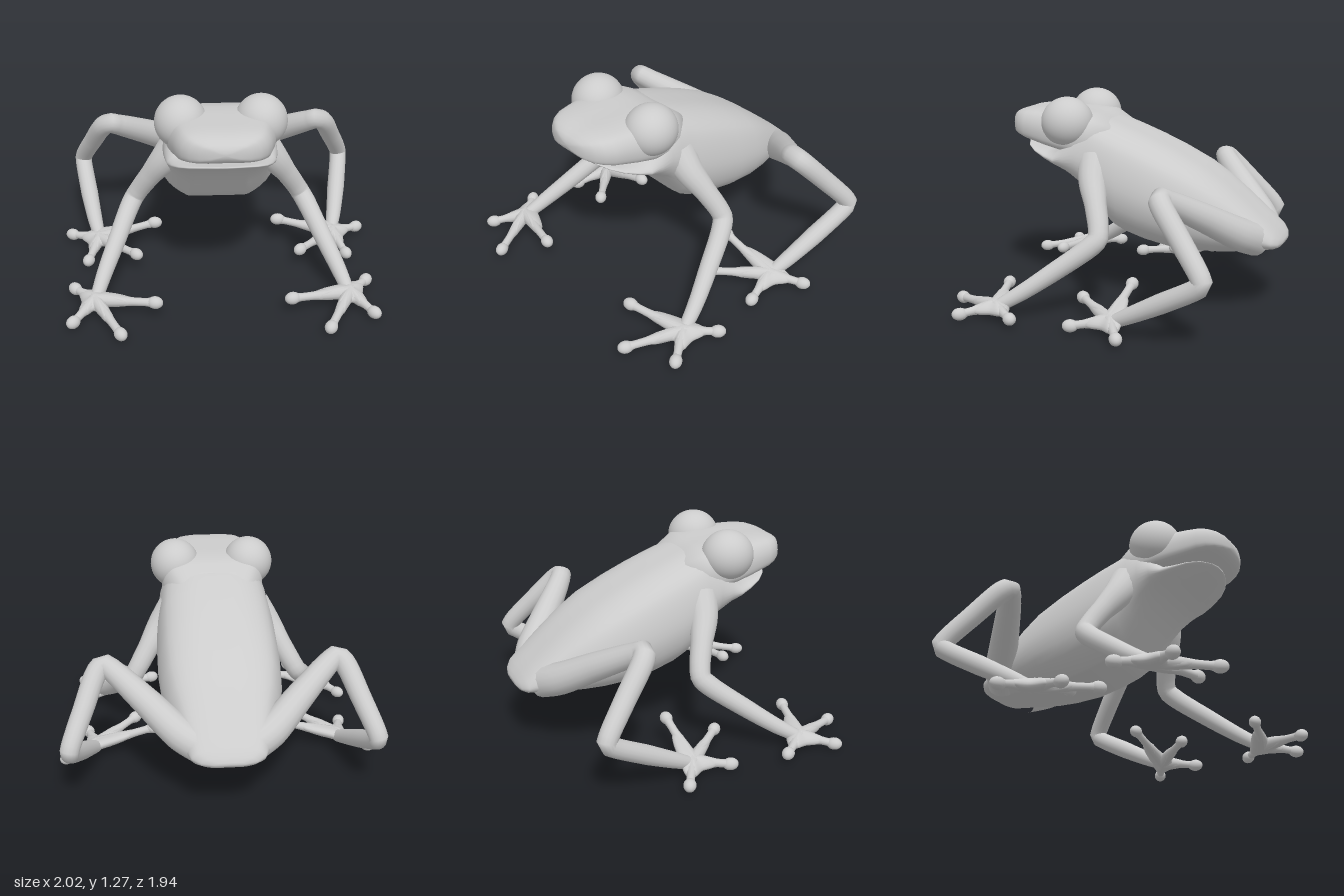
import * as THREE from 'three';

const V = (x, y, z) => new THREE.Vector3(x, y, z);

function addMesh(parent, name, geometry, material) {
  const mesh = new THREE.Mesh(geometry, material);
  mesh.name = name;
  parent.add(mesh);
  return mesh;
}

// Closed skin over rings of equal length, capped at both ends
function loft(rings) {
  const n = rings[0].length, pos = [], idx = [];
  rings.forEach(r => r.forEach(p => pos.push(p.x, p.y, p.z)));
  for (let i = 0; i < rings.length - 1; i++) {
    for (let j = 0; j < n; j++) {
      const a = i * n + j, b = i * n + (j + 1) % n;
      idx.push(a, b, a + n, b, b + n, a + n);
    }
  }
  [0, rings.length - 1].forEach(k => {
    const c = rings[k].reduce((s, p) => s.add(p), V(0, 0, 0)).divideScalar(n);
    const ci = pos.length / 3;
    pos.push(c.x, c.y, c.z);
    for (let j = 0; j < n; j++) {
      const a = k * n + j, b = k * n + (j + 1) % n;
      if (k === 0) idx.push(ci, b, a);
      else idx.push(ci, a, b);
    }
  });
  const g = new THREE.BufferGeometry();
  g.setAttribute('position', new THREE.Float32BufferAttribute(pos, 3));
  g.setIndex(idx);
  g.computeVertexNormals();
  return g;
}

// Loft along z: sections are [z, bottom, top, halfWidth], half is the right half of the outline
function bodyLoft(half, sections) {
  const left = half.slice(1, -1).reverse().map(([x, y]) => [-x, y]);
  const outline = new THREE.CatmullRomCurve3(
    [...half, ...left].map(([x, y]) => V(x, y, 0)), true).getPoints(56).slice(0, -1);
  return loft(sections.map(([z, lo, hi, w]) =>
    outline.map(p => V(p.x * w, lo + p.y * (hi - lo), z))));
}

// Round limb through points [x, y, z, radius]
function limb(points, segments = 36, sides = 16) {
  const curve = new THREE.CatmullRomCurve3(points.map(p => V(p[0], p[1], p[2])), false, 'centripetal');
  const g = new THREE.TubeGeometry(curve, segments, 1, sides);
  const pos = g.attributes.position, v = V(0, 0, 0);
  for (let i = 0; i <= segments; i++) {
    const u = i / segments, c = curve.getPointAt(u);
    const t = curve.getUtoTmapping(u) * (points.length - 1);
    const k = Math.min(Math.floor(t), points.length - 2);
    const r = THREE.MathUtils.lerp(points[k][3], points[k + 1][3], t - k);
    for (let j = 0; j <= sides; j++) {
      const n = i * (sides + 1) + j;
      v.fromBufferAttribute(pos, n).sub(c).multiplyScalar(r).add(c);
      pos.setXYZ(n, v.x, v.y, v.z);
    }
  }
  return g;
}

// Star-shaped webbed foot with slim toes ending in round pads
function foot(name, centre, toes, side, mat) {
  const group = new THREE.Group();
  group.name = name;
  const c = V(centre[0] * side, centre[1], centre[2]);
  let tips = toes.map(t => V(t[0] * side, t[1], t[2]));
  if (side < 0) tips = tips.reverse();

  // Web between the toes
  const edge = [];
  tips.forEach((tip, i) => {
    const dir = tip.clone().sub(c);
    const next = tips[(i + 1) % tips.length].clone().sub(c);
    const across = V(dir.z, 0, -dir.x).setLength(0.022);
    const out = c.clone().addScaledVector(dir, 0.62);
    edge.push(out.clone().sub(across), out.clone().add(across));
    const mid = dir.normalize().add(next.normalize()).setLength(0.085);
    edge.push(c.clone().add(mid));
  });
  const outline = new THREE.CatmullRomCurve3(edge, true, 'centripetal').getPoints(72).slice(0, -1);
  const rings = [];
  for (let k = 0; k <= 10; k++) {
    const a = (k / 10 - 0.5) * Math.PI * 0.96;
    rings.push(outline.map(p => p.clone().sub(c).multiplyScalar(Math.cos(a)).add(c)
      .add(V(0, Math.sin(a) * 0.042, 0))));
  }
  addMesh(group, 'web', loft(rings), mat);

  // Toes and pads
  tips.forEach(tip => {
    const at = (f, r) => [...c.clone().lerp(tip, f).toArray(), r];
    addMesh(group, 'toe', limb([at(0, 0.045), at(0.35, 0.036), at(0.65, 0.025), at(0.85, 0.024), at(1, 0.034)], 14, 12), mat);
    const pad = addMesh(group, 'toePad', new THREE.SphereGeometry(0.042, 20, 14), mat);
    pad.position.copy(tip);
    pad.scale.set(0.9, 0.9, 1.15);
    pad.rotation.y = Math.atan2(tip.x - c.x, tip.z - c.z);
  });
  return group;
}

export function createModel() {
  const frog = new THREE.Group();
  frog.name = 'frog';
  const mat = new THREE.MeshStandardMaterial({ color: 0xcccccc, roughness: 0.7 });

  // Trunk with flat belly, running forward into the lower jaw
  const trunk = [[0, 0], [0.42, 0], [0.53, 0.01], [0.88, 0.19], [1, 0.42], [0.96, 0.66], [0.82, 0.86], [0.48, 0.98], [0, 1]];
  addMesh(frog, 'bodyAndLowerJaw', bodyLoft(trunk, [
    [-0.97, 0.43, 0.455, 0.09], [-0.955, 0.415, 0.48, 0.16], [-0.925, 0.405, 0.515, 0.21],
    [-0.87, 0.397, 0.565, 0.235], [-0.77, 0.385, 0.65, 0.265], [-0.68, 0.375, 0.725, 0.295],
    [-0.58, 0.37, 0.8, 0.33], [-0.45, 0.37, 0.885, 0.36], [-0.28, 0.38, 0.97, 0.373],
    [-0.13, 0.41, 1.035, 0.373], [0, 0.45, 1.085, 0.37], [0.07, 0.485, 1.11, 0.363],
    [0.13, 0.54, 1.13, 0.355], [0.2, 0.63, 1.15, 0.345], [0.28, 0.72, 1.12, 0.34],
    [0.36, 0.79, 1.03, 0.335], [0.43, 0.835, 0.95, 0.32], [0.5, 0.87, 0.945, 0.295],
    [0.58, 0.91, 0.955, 0.255], [0.64, 0.94, 0.968, 0.195], [0.68, 0.962, 0.978, 0.11], [0.695, 0.97, 0.98, 0.04],
  ]), mat);

  // Upper head and snout
  const snout = [[0, 0], [0.6, 0], [0.93, 0.08], [1, 0.35], [0.96, 0.68], [0.82, 0.91], [0.5, 1], [0, 1]];
  addMesh(frog, 'upperHead', bodyLoft(snout, [
    [0.08, 0.95, 1.1, 0.25], [0.2, 0.93, 1.165, 0.31], [0.3, 0.93, 1.183, 0.325],
    [0.4, 0.945, 1.188, 0.325], [0.5, 0.965, 1.186, 0.305], [0.58, 0.983, 1.188, 0.285],
    [0.65, 1.0, 1.185, 0.268], [0.7, 1.015, 1.178, 0.24], [0.74, 1.028, 1.165, 0.2],
    [0.77, 1.045, 1.148, 0.145], [0.785, 1.062, 1.13, 0.09], [0.792, 1.08, 1.11, 0.04],
  ]), mat);

  for (const side of [1, -1]) {
    const half = new THREE.Group();
    half.name = side > 0 ? 'leftSide' : 'rightSide';
    frog.add(half);
    const flip = pts => pts.map(([x, ...rest]) => [x * side, ...rest]);

    // Bulging eye
    const eye = addMesh(half, 'eye', new THREE.SphereGeometry(0.155, 36, 24), mat);
    eye.position.set(0.235 * side, 1.122, 0.36);
    eye.scale.set(1, 1, 1.05);

    // Front leg: shoulder, elbow, wrist
    addMesh(half, 'frontLeg', limb(flip([
      [0.25, 0.9, 0.17, 0.11], [0.34, 0.78, 0.15, 0.088], [0.42, 0.66, 0.1, 0.068], [0.5, 0.53, 0.05, 0.062],
      [0.53, 0.48, 0.045, 0.062], [0.56, 0.435, 0.085, 0.062], [0.65, 0.28, 0.29, 0.056],
      [0.72, 0.16, 0.46, 0.048], [0.76, 0.085, 0.58, 0.04],
    ]), 48), mat);
    half.add(foot('frontFoot', [0.77, 0.08, 0.61],
      [[0.9, 0.06, 0.45], [0.41, 0.105, 0.7], [0.61, 0.043, 0.92], [0.89, 0.043, 0.785]], side, mat));

    // Hind leg: hip, knee, heel, ankle
    addMesh(half, 'hindLeg', limb(flip([
      [0.13, 0.46, -0.82, 0.1], [0.26, 0.52, -0.75, 0.1], [0.45, 0.65, -0.59, 0.085], [0.64, 0.775, -0.43, 0.068],
      [0.69, 0.8, -0.4, 0.066], [0.73, 0.775, -0.42, 0.066], [0.82, 0.6, -0.57, 0.062],
      [0.895, 0.44, -0.7, 0.058], [0.905, 0.405, -0.715, 0.057], [0.9, 0.375, -0.68, 0.057],
      [0.855, 0.25, -0.46, 0.058], [0.81, 0.14, -0.26, 0.048], [0.785, 0.09, -0.17, 0.04],
    ]), 64), mat);
    half.add(foot('hindFoot', [0.78, 0.085, -0.13],
      [[0.965, 0.055, -0.24], [0.41, 0.19, -0.13], [0.53, 0.11, 0.14], [0.84, 0.045, 0.09]], side, mat));
  }
  return frog;
}
